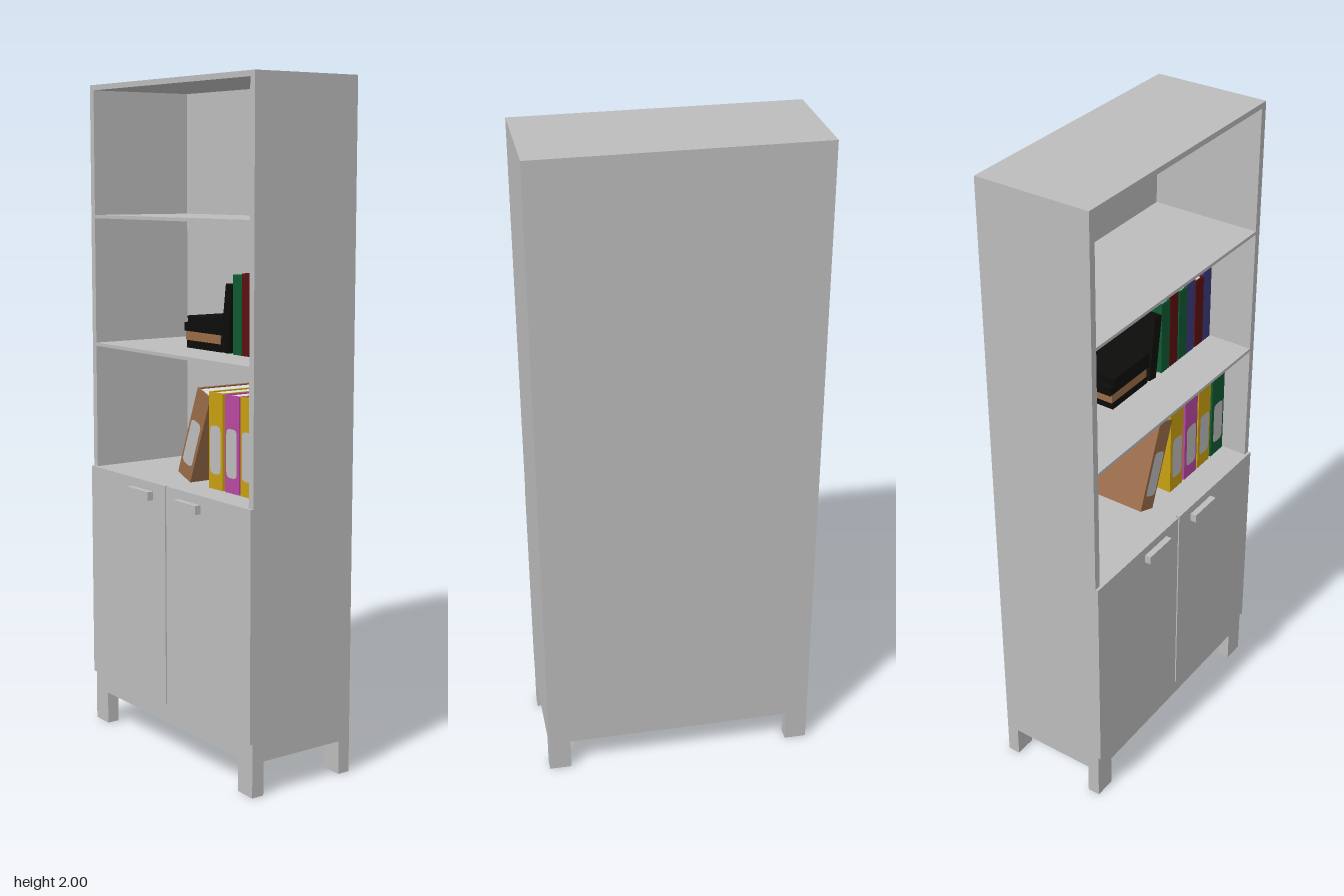
import * as THREE from 'three';

const mat = (name, color, side = THREE.FrontSide) => {
  const m = new THREE.MeshStandardMaterial({ color, side });
  m.name = name;
  return m;
};

export function createModel() {
  const M = {
    grey: mat('cabinet grey', 0xbcbcbc),
    paper: mat('paper white', 0xdcdcdc),
    black: mat('black', 0x0c0c0a),
    brown: mat('brown', 0x9a6c48),
    yellow: mat('yellow', 0xc8a010),
    magenta: mat('magenta', 0xb848a0),
    green: mat('green', 0x0f5a30),
    red: mat('dark red', 0x5a1010),
    blue: mat('blue', 0x3a3a7c),
  };
  const model = new THREE.Group();
  model.name = 'bookcase';

  // Box given by its limits on each axis
  const box = (name, m, x0, x1, y0, y1, z0, z1, parent = model) => {
    const mesh = new THREE.Mesh(new THREE.BoxGeometry(x1 - x0, y1 - y0, z1 - z0), m);
    mesh.position.set((x0 + x1) / 2, (y0 + y1) / 2, (z0 + z1) / 2);
    mesh.name = name;
    parent.add(mesh);
    return mesh;
  };

  const W = 0.416, IN = 0.395, BACK = -0.191, FRONT = 0.163, FLOOR = 0.827, SHELF = 1.217;

  // Carcass
  box('lowerCabinet', M.grey, -W, W, 0.1, FLOOR, BACK, FRONT);
  box('backPanel', M.grey, -IN, IN, FLOOR, 1.984, BACK, BACK + 0.01);
  box('topPanel', M.grey, -W, W, 1.984, 2, BACK, FRONT);
  for (const y of [1.61, SHELF]) box('shelf', M.grey, -IN, IN, y - 0.01, y, BACK + 0.01, FRONT);

  // Sides, legs, doors and handles, mirrored
  for (const s of [-1, 1]) {
    const pair = (name, a, b, ...rest) =>
      box(name, M.grey, Math.min(s * a, s * b), Math.max(s * a, s * b), ...rest);
    pair('sidePanel', IN, W, FLOOR, 1.984, BACK, FRONT);
    pair('frontLeg', 0.348, W, 0, 0.1, 0.124, FRONT);
    pair('backLeg', 0.348, W, 0, 0.1, BACK, -0.152);
    pair('door', 0.003, W, 0.158, FLOOR, FRONT, 0.172);
    pair('handle', 0.067, 0.179, 0.774, 0.8, 0.172, 0.191);
  }

  // Book standing with its spine to the front; origin at bottom centre of the spine
  const book = (name, m, w, h, d) => {
    const g = new THREE.Group();
    g.name = name;
    const t = 0.005;
    box('spine', m, -w / 2, w / 2, 0, h, -t, 0, g);
    box('cover', m, -w / 2, -w / 2 + t, 0, h, -d, -t, g);
    box('cover', m, w / 2 - t, w / 2, 0, h, -d, -t, g);
    box('pages', M.paper, -w / 2 + t, w / 2 - t, 0.003, h - 0.004, -d + 0.005, -t, g);
    model.add(g);
    return g;
  };

  // Binder with a round-ended label on the spine
  const labelShape = new THREE.Shape();
  const lw = 0.025, lo = 0.045, hi = 0.187, c = 0.016;
  labelShape.moveTo(-lw + c, lo);
  labelShape.lineTo(lw - c, lo);
  labelShape.quadraticCurveTo(lw, lo, lw, lo + c);
  labelShape.lineTo(lw, hi - c);
  labelShape.quadraticCurveTo(lw, hi, lw - c, hi);
  labelShape.lineTo(-lw + c, hi);
  labelShape.quadraticCurveTo(-lw, hi, -lw, hi - c);
  labelShape.lineTo(-lw, lo + c);
  labelShape.quadraticCurveTo(-lw, lo, -lw + c, lo);
  const labelGeo = new THREE.ShapeGeometry(labelShape, 4);
  const binder = (m) => {
    const g = book('binder', m, 0.068, 0.284, 0.23);
    const label = new THREE.Mesh(labelGeo, M.grey);
    label.name = 'label';
    label.position.z = 0.002;
    g.add(label);
    return g;
  };

  // Lower shelf: four upright binders and a leaning one
  [[0.125, M.yellow], [0.204, M.magenta], [0.279, M.yellow], [0.358, M.green]]
    .forEach(([x, m]) => binder(m).position.set(x, FLOOR, 0.08));
  const tilt = 0.37;
  const leaning = binder(M.brown);
  leaning.rotation.z = -tilt;
  leaning.position.set(-0.005 - 0.034 * Math.cos(tilt), FLOOR + 0.034 * Math.sin(tilt), 0.08);

  // Middle shelf: six upright books
  [
    [0.147, M.green, 0.23], [0.191, M.red, 0.236], [0.239, M.green, 0.23],
    [0.281, M.blue, 0.236], [0.329, M.red, 0.225], [0.371, M.blue, 0.236],
  ].forEach(([x, m, h]) => book('book', m, 0.042, h, 0.17).position.set(x, SHELF, 0.02));

  // Leaning black book
  const lean = new THREE.Group();
  lean.name = 'leaningBook';
  box('blackBook', M.black, -0.034, 0, 0, 0.2, -0.17, 0, lean);
  lean.rotation.z = -0.14;
  lean.position.set(0.097, SHELF, 0.02);
  model.add(lean);

  // Stack of lying books: x from, x to, height from, height to
  [
    [-0.115, 0.06, 0, 0.023, M.black],
    [-0.12, 0.056, 0.023, 0.05, M.brown],
    [-0.127, 0.072, 0.05, 0.076, M.black],
    [-0.11, 0.068, 0.076, 0.097, M.black],
  ].forEach(([a, b, y0, y1, m]) =>
    box('lyingBook', m, a, b, SHELF + y0, SHELF + y1, -0.16, 0.015));

  return model;
}
